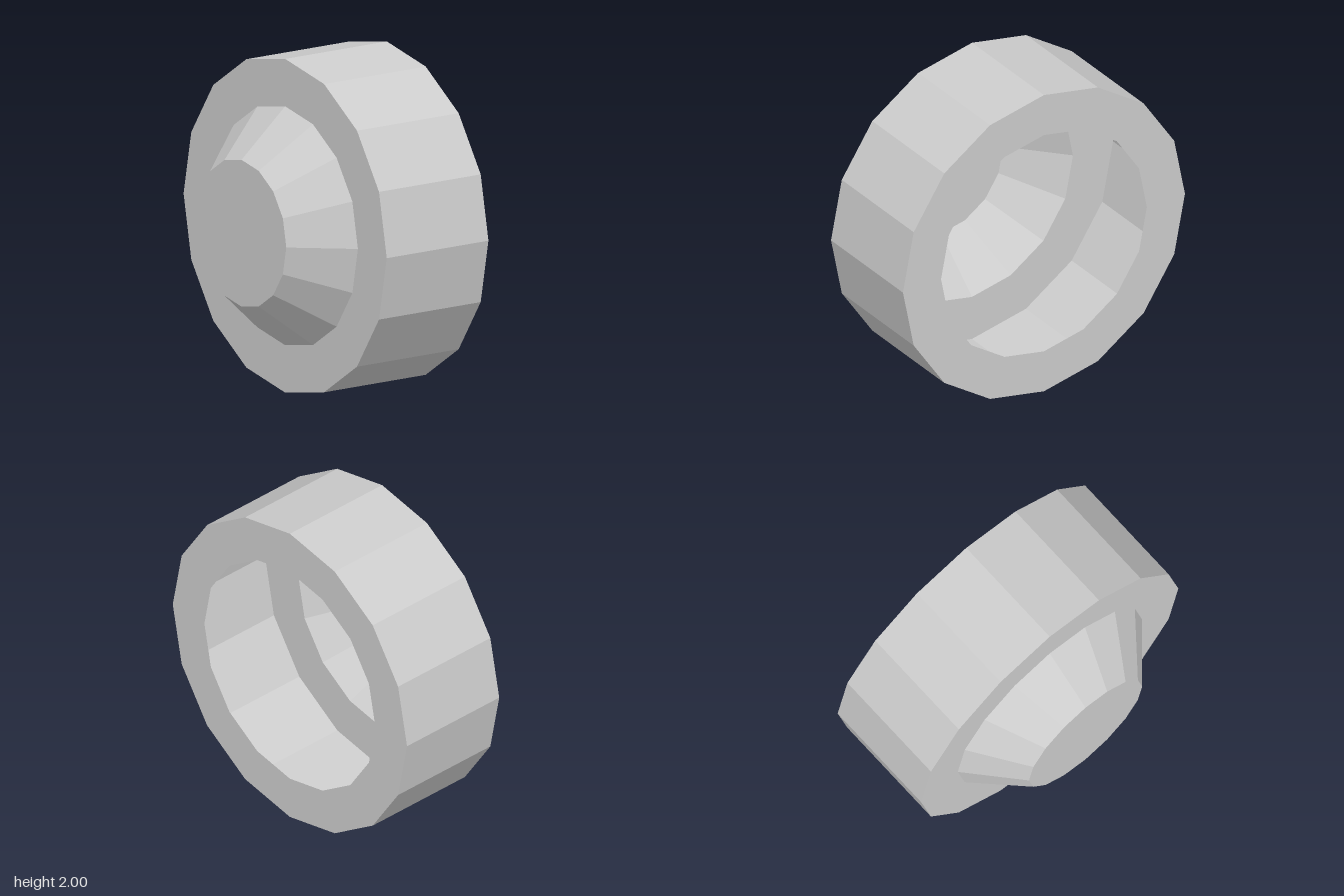
import * as THREE from 'three';

const SIDES = 16;

export function createModel() {
  const group = new THREE.Group();
  const material = new THREE.MeshStandardMaterial({
    color: 0xcccccc,
    flatShading: true,
    side: THREE.DoubleSide,
  });

  // A faceted band around the z axis, from (radius, z) to (radius, z)
  const addBand = (name, r0, z0, r1, z1) => {
    const profile = [new THREE.Vector2(r0, z0), new THREE.Vector2(r1, z1)];
    const geometry = new THREE.LatheGeometry(profile, SIDES).rotateX(Math.PI / 2);
    const mesh = new THREE.Mesh(geometry, material);
    mesh.name = name;
    mesh.position.y = 1;
    group.add(mesh);
  };

  // Hollow drum, open through the back rim
  addBand('backRim', 0.73, -0.525, 1, -0.525);
  addBand('outerWall', 1, -0.525, 1, 0.21);
  addBand('frontRing', 1, 0.21, 0.716, 0.21);

  // Tapered nose with a flat end
  addBand('noseCone', 0.716, 0.21, 0.44, 0.525);
  const cap = new THREE.Mesh(new THREE.CircleGeometry(0.44, SIDES), material);
  cap.name = 'noseCap';
  cap.position.set(0, 1, 0.525);
  group.add(cap);

  return group;
}
